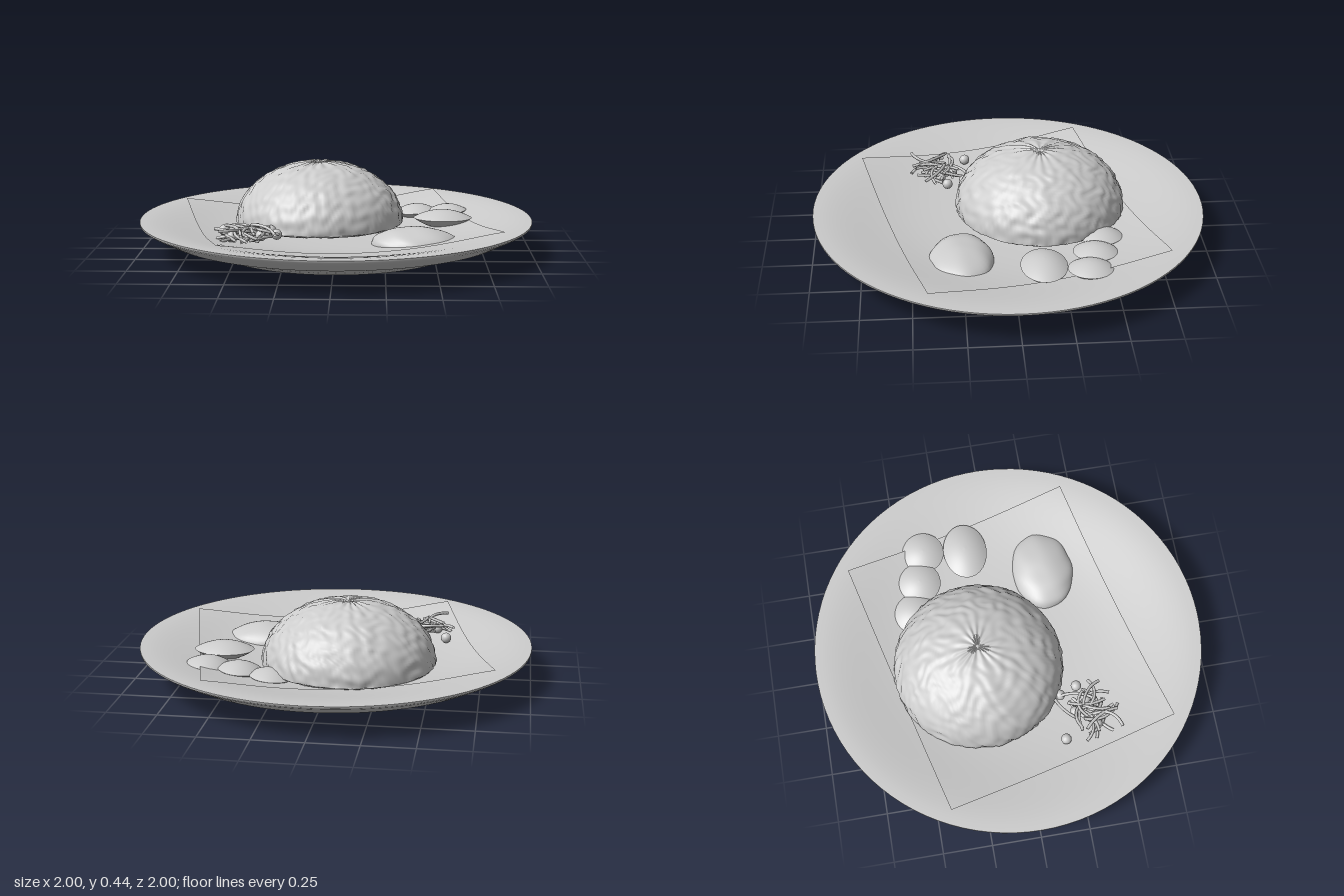
import * as THREE from 'three';
import { mergeGeometries, mergeVertices } from 'three/addons/utils/BufferGeometryUtils.js';

const clay = new THREE.MeshStandardMaterial({ color: 0xcccccc, side: THREE.DoubleSide });
clay.name = 'light grey';

let seed = 11;
const rand = () => (seed = (seed * 16807) % 2147483647) / 2147483647;
const range = (a, b) => a + (b - a) * rand();

// Dish curve shared by the plate and the sheet on it: flat floor, rise, flat rim
const dish = (r) => 0.08 + 0.0475 * (1 - Math.cos(Math.PI * Math.min(1, r * r)));

function add(parent, name, geometry, x = 0, y = 0, z = 0) {
  const mesh = new THREE.Mesh(geometry, clay);
  mesh.name = name;
  mesh.position.set(x, y, z);
  parent.add(mesh);
  return mesh;
}

const lathe = (pts, segments) =>
  new THREE.LatheGeometry(pts.map(([r, y]) => new THREE.Vector2(r, y)), segments);

// Unit sphere pushed in and out by a rule, with seamless smooth normals
function lumpySphere(w, h, scale, bump, under = 1) {
  let g = new THREE.SphereGeometry(1, w, h);
  g.deleteAttribute('uv');
  g.deleteAttribute('normal');
  g = mergeVertices(g, 1e-5);
  const p = g.attributes.position, v = new THREE.Vector3();
  for (let i = 0; i < p.count; i++) {
    v.fromBufferAttribute(p, i);
    v.multiplyScalar(1 + bump(v)).multiply(scale);
    p.setXYZ(i, v.x, v.y < 0 ? v.y * under : v.y, v.z);
  }
  g.computeVertexNormals();
  return g;
}

// Two shallow caps meeting in a sharp rim
function lens(rx, top, bottom, rz) {
  const n = 10, upper = [], lower = [];
  for (let i = 0; i <= n; i++) {
    const r = Math.sin((i / n) * Math.PI / 2), y = 1 - r * r;
    lower.push([r, -y * bottom]);
    upper.unshift([r, y * top]);
  }
  return mergeGeometries([lathe(lower, 40), lathe(upper, 40)]).scale(rx, 1, rz);
}

// Wrinkles over the dome: crossed waves plus creases running from the crown
function wrinkles(v) {
  const a = Math.atan2(v.z, v.x), flat = Math.hypot(v.x, v.z);
  const waves = Math.sin(25 * v.x + 2 * Math.sin(13 * v.z + 7 * v.y))
    * Math.sin(27 * v.z + 2 * Math.sin(15 * v.x - 9 * v.y))
    + 0.6 * Math.sin(23 * v.y + 2 * Math.sin(17 * v.x)) * Math.sin(19 * v.x + 21 * v.z);
  const crease = Math.sin(15 * a + 2 * Math.sin(3 * a)) * Math.exp(-flat * 3.5) * Math.min(1, flat * 6);
  const dimple = v.y > 0 ? -0.02 * Math.exp(-flat * flat * 250) : 0;
  return 0.008 + 0.011 * waves * Math.min(1, flat * 2) + 0.02 * crease + dimple;
}

export function createModel() {
  const model = new THREE.Group();
  model.name = 'platedMeal';

  // Plate: stepped underside, smooth dish on top
  const plate = new THREE.Group();
  plate.name = 'plate';
  model.add(plate);
  add(plate, 'plateUnderside', lathe(
    [[0, 0.02], [0.63, 0.02], [0.68, 0.05], [0.88, 0.1], [0.985, 0.155], [1, 0.166], [1, 0.175]], 96));
  const inner = [];
  for (let i = 24; i >= 0; i--) inner.push([i / 24, dish(i / 24)]);
  add(plate, 'plateDish', lathe(inner, 96));

  // Rectangular sheet lying in the dish, corners lifting off
  const sheet = new THREE.PlaneGeometry(1.4, 1.227, 24, 24).rotateX(-Math.PI / 2).rotateY(0.245);
  const p = sheet.attributes.position;
  for (let i = 0; i < p.count; i++) {
    const r = Math.hypot(p.getX(i), p.getZ(i));
    p.setY(i, dish(r) + 0.004 + 0.013 * Math.pow(r / 0.93, 2));
  }
  sheet.computeVertexNormals();
  add(model, 'sheet', sheet);

  // Wrinkled main dome with a shallow underside
  add(model, 'mainDome',
    lumpySphere(160, 100, new THREE.Vector3(0.433, 0.31, 0.433), wrinkles, 0.12),
    -0.09, 0.125, -0.17);

  // Lumpy potato sunk through the plate
  add(model, 'potato', lumpySphere(40, 28, new THREE.Vector3(0.22, 0.086, 0.162), (v) =>
    0.018 * Math.sin(5 * v.x + 2 * v.z) * Math.cos(6 * v.z - 2 * v.x) + 0.01 * Math.sin(9 * v.x + 7 * v.y)),
    0.4, 0.087, 0.255);

  // Large oval half and three overlapping slices
  add(model, 'ovalPiece', lens(0.153, 0.042, 0.055, 0.115), 0.555, 0.146, -0.138);
  const slices = [[0.255, 0.12, -0.448], [0.42, 0.132, -0.402], [0.585, 0.14, -0.36]];
  for (const [x, y, z] of slices) {
    const slice = add(model, 'slice', lens(0.11, 0.036, 0.045, 0.11), x, y, z);
    slice.rotation.z = 0.08;
  }

  // Tangle of curved shreds
  const garnish = new THREE.Group();
  garnish.name = 'garnish';
  model.add(garnish);
  for (let i = 0; i < 24; i++) {
    const a = i * 2.4, len = range(0.06, 0.1), bend = range(0.03, 0.075) * (i % 2 ? 1 : -1);
    const dx = Math.cos(a), dz = Math.sin(a);
    const x = -0.43 + range(-0.09, 0.09), z = 0.36 + range(-0.07, 0.07), y = range(0.13, 0.185);
    const tilt = range(-0.022, 0.022);
    const curve = new THREE.QuadraticBezierCurve3(
      new THREE.Vector3(x - dx * len, y - tilt, z - dz * len),
      new THREE.Vector3(x - dz * bend, y + 0.02, z + dx * bend),
      new THREE.Vector3(x + dx * len, y + tilt, z + dz * len));
    add(garnish, 'shred', new THREE.TubeGeometry(curve, 10, 0.008, 6));
  }
  // Stem reaching toward the dome
  add(garnish, 'stem', new THREE.TubeGeometry(new THREE.QuadraticBezierCurve3(
    new THREE.Vector3(-0.47, 0.16, 0.29), new THREE.Vector3(-0.42, 0.17, 0.21),
    new THREE.Vector3(-0.33, 0.15, 0.18)), 10, 0.008, 6));

  // Small berries in the tangle
  const berries = [[-0.555, 0.205], [-0.32, 0.215], [-0.285, 0.305], [-0.36, 0.34], [-0.42, 0.275], [-0.5, 0.375]];
  for (const [x, z] of berries) {
    add(garnish, 'berry', new THREE.SphereGeometry(0.027, 14, 10), x, 0.145, z);
  }
  return model;
}
